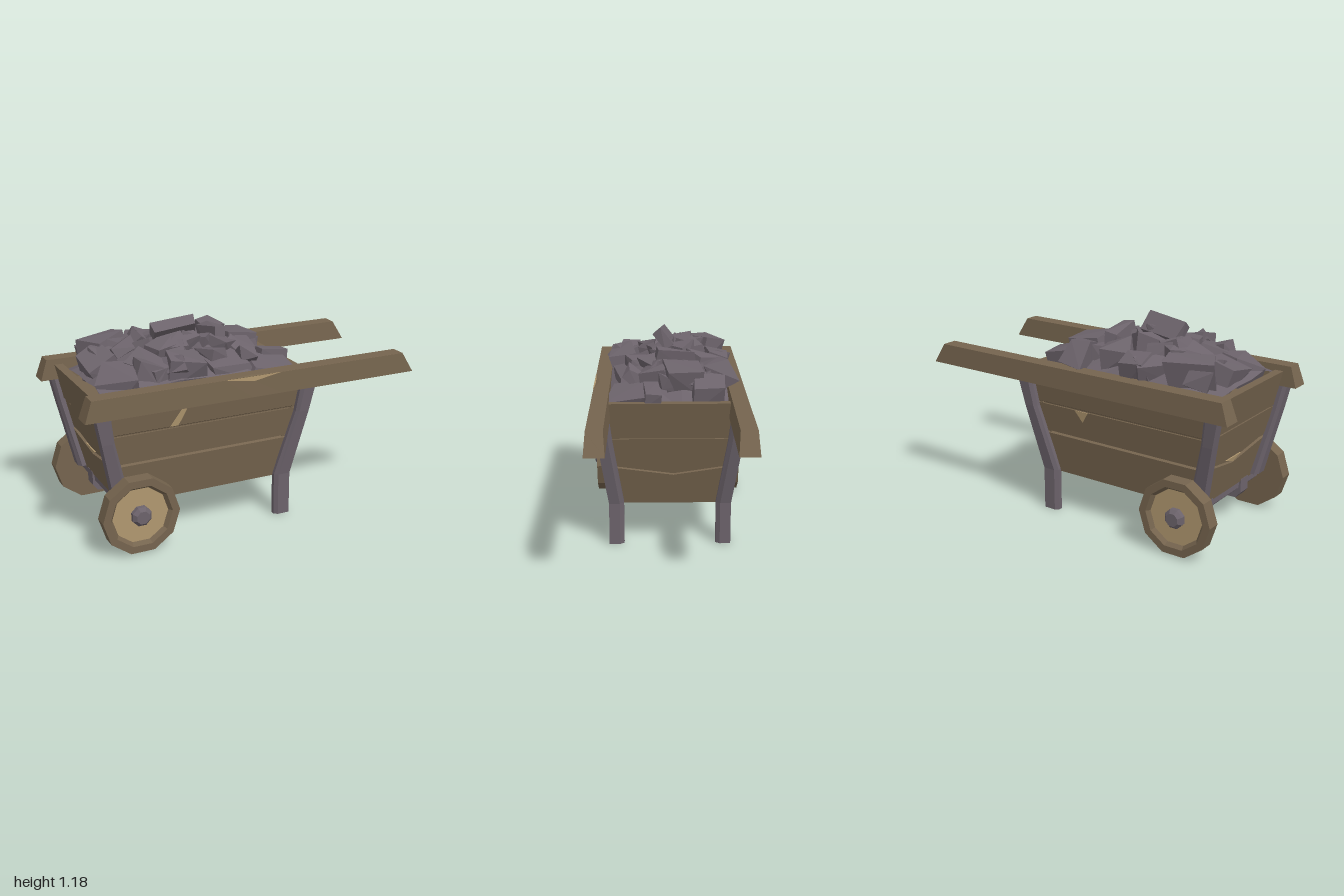
import * as THREE from 'three';
import { ConvexGeometry } from 'three/addons/geometries/ConvexGeometry.js';

const mat = (name, color) => {
  const m = new THREE.MeshStandardMaterial({ color });
  m.name = name;
  return m;
};

export function createModel() {
  const wood = mat('brown wood', 0x75644e);
  const pale = mat('pale split wood', 0xb0976f);
  const grey = mat('grey iron and coal', 0x6c636b);
  const model = new THREE.Group();
  const lerp = THREE.MathUtils.lerp;

  let seed = 11;
  const rnd = () => {
    seed = (seed * 16807) % 2147483647;
    return seed / 2147483647 - 0.5;
  };

  function add(name, geo, material, parent = model) {
    const g = geo.index ? geo.toNonIndexed() : geo;
    g.computeVertexNormals();
    const m = new THREE.Mesh(g, material);
    m.name = name;
    parent.add(m);
    return m;
  }

  // Skin a list of equal rings and cap both ends; winding is corrected by signed volume
  function loft(rings, capTris) {
    const n = rings[0].length, tris = [];
    const caps = capTris || Array.from({ length: n - 2 }, (_, i) => [0, i + 1, i + 2]);
    for (let r = 0; r < rings.length - 1; r++) {
      for (let i = 0; i < n; i++) {
        const j = (i + 1) % n, a = rings[r], b = rings[r + 1];
        tris.push([a[i], a[j], b[j]], [a[i], b[j], b[i]]);
      }
    }
    const end = rings[rings.length - 1];
    for (const [i, j, k] of caps) {
      tris.push([rings[0][i], rings[0][k], rings[0][j]], [end[i], end[j], end[k]]);
    }
    const v = (p) => new THREE.Vector3(...p);
    let volume = 0;
    for (const [a, b, c] of tris) volume += v(a).dot(v(b).cross(v(c)));
    const pos = tris.flatMap(([a, b, c]) => (volume > 0 ? [a, b, c] : [a, c, b])).flat();
    const geo = new THREE.BufferGeometry();
    geo.setAttribute('position', new THREE.Float32BufferAttribute(pos, 3));
    return geo;
  }
  // Cap triangles of an outline whose corners run counter-clockwise
  const capOf = (poly) => THREE.ShapeUtils.triangulateShape(poly.map((p) => new THREE.Vector2(...p)), []);

  // Hopper: four walls leaning outwards, symmetric about x = CX
  const CX = -0.29;
  const halfX = (y) => lerp(0.485, 0.622, (y - 0.24) / 0.63);
  const halfZ = (y) => lerp(0.312, 0.385, (y - 0.24) / 0.63);
  // A wall maps (u along the wall, y, distance outwards) to space
  const sideWall = (s) => (u, y, o) => [u, y, s * (halfZ(y) + o)];
  const endWall = (s) => (u, y, o) => [CX + s * (halfX(y) + o), y, u];
  function panel(name, poly, wall, o0, o1, material = wood, inner = poly) {
    const ring = (pts, o) => pts.map(([u, y]) => wall(u, y, o));
    return add(name, loft([ring(inner, o0), ring(poly, o1)], capOf(poly)), material);
  }

  // Plank rows: bottom, top, outset, bevel below, bevel above
  const rows = [[0.238, 0.472, 0, 0, 0.013], [0.484, 0.65, -0.006, 0, 0], [0.667, 0.87, 0.004, 0.017, 0]];
  for (const s of [1, -1]) {
    rows.forEach(([y0, y1, o, below, above], i) => {
      const inner = (poly) => poly.map(([u, y]) => [u, y < y0 + 0.1 ? y - below : y + above]);
      const x0 = halfX(y0) - 0.01, x1 = halfX(y1) - 0.01;
      const z0 = halfZ(y0) - 0.007, z1 = halfZ(y1) - 0.007;
      const side = [[CX - x0, y0], [CX + x0, y0], [CX + x1, y1], [CX - x1, y1]];
      panel('sidePlank', side, sideWall(s), o - 0.03, o, wood, inner(side));
      const end = [[-z0, y0], [z0, y0], [z1, y1], [-z1, y1]];
      if (i === 0) end.splice(3, 0, [-0.02, 0.422]); // split top edge
      panel('endPlank', end, endWall(s), o - 0.05, o, wood, inner(end));
    });
  }
  const box4 = (y, d) => [[1, 1], [1, -1], [-1, -1], [-1, 1]]
    .map(([a, b]) => [CX + a * (halfX(y) - d), y, b * (halfZ(y) - d)]);
  add('hopperCore', loft([box4(0.24, 0.016), box4(0.78, 0.016)]), wood);

  // Pale splinter marks on the planks
  panel('frontSplit', [[-0.505, 0.667], [-0.46, 0.667], [-0.44, 0.7], [-0.39, 0.8], [-0.44, 0.76]],
    sideWall(1), 0.003, 0.007, pale);
  panel('backSplit', [[-0.04, 0.585], [0.01, 0.65], [-0.08, 0.65]], sideWall(-1), -0.008, -0.003, pale);
  panel('endSplit', [[-0.02, 0.43], [0.05, 0.46], [-0.11, 0.46]], endWall(-1), -0.004, 0.003, pale);

  // Long carrying rails; the front one has a chipped upper edge
  for (const s of [1, -1]) {
    const shift = s > 0 ? 0 : -0.007;
    const section = (xTop, xBottom, cut) => [
      [xBottom, 0.785, 0.332], [xTop, 0.902, 0.342], [xTop, 0.902, 0.43 - cut],
      [xTop, 0.902 - cut * 0.2, 0.43 - cut * 0.2], [xTop, 0.902 - cut, 0.431], [xBottom, 0.785, 0.44],
    ].map(([x, y, z]) => [x, y, s * (z + shift)]);
    add('rail', loft([section(-0.96, -1, 0.0005), section(-0.21, -0.21, 0.0005),
      section(-0.04, -0.04, s > 0 ? 0.027 : 0.0005), section(0.13, 0.13, 0.0005),
      section(0.93, 1, 0.0005)]), wood);
  }
  const chipFace = [[-0.21, 0.902, 0.43], [-0.04, 0.874, 0.431], [0.13, 0.902, 0.43], [-0.04, 0.897, 0.424]];
  add('railChip', loft([chipFace, chipFace.map(([x, y, z]) => [x, y, z + 0.003])]), pale);

  // Bent angle-section legs: y, inner x, outer x, inner z, outer z
  const legRows = [[0, 0.15, 0.242, 0.264, 0.35], [0.25, 0.15, 0.242, 0.264, 0.35],
    [0.64, 0.25, 0.325, 0.322, 0.407], [0.8, 0.272, 0.358, 0.34, 0.422]];
  // Fractions from the inner to the outer corner, bevelled at the tips of both arms
  const legSection = [[1, 1], [0.22, 1], [0, 0.8], [0, 0.52], [0.52, 0.52], [0.52, 0], [0.8, 0], [1, 0.28]];
  for (const s of [1, -1]) {
    for (const right of [true, false]) {
      const ring = ([y, x0, x1, z0, z1]) => legSection.map(([a, b]) => {
        const x = lerp(x0, x1, a);
        return [right ? x : 2 * CX - x, y, s * lerp(z0, z1, b)];
      });
      add(right ? 'longLeg' : 'shortLeg',
        loft((right ? legRows : legRows.slice(1)).map(ring), capOf(legSection)), grey);
    }
  }

  // Wheels, axle and axle brackets
  const AX = -0.714, AY = 0.22;
  const turned = (pts, n) => new THREE.LatheGeometry(
    pts.map((p) => new THREE.Vector2(...p)), n, Math.PI / n).rotateX(Math.PI / 2);
  for (const s of [1, -1]) {
    const wheel = new THREE.Group();
    wheel.name = 'wheel';
    wheel.position.set(AX, AY, s * 0.415);
    wheel.rotation.y = s > 0 ? 0 : Math.PI;
    model.add(wheel);
    add('wheelRim', turned([[0, -0.04], [0.22, -0.04], [0.22, 0.04], [0.178, 0.04], [0.16, 0.015]], 10), wood, wheel);
    add('wheelDisc', turned([[0.16, 0.015], [0, 0.015]], 10), pale, wheel);
    const strap = [[0.065, 0.25], [0.065, 0.168], [0.035, 0.132], [-0.035, 0.132], [-0.065, 0.168], [-0.065, 0.25]];
    add('axleBracket', loft([0.156, 0.238].map((z) => strap.map(([x, y]) => [AX + x, y, s * z]))), grey);
  }
  const axle = add('axle', turned([[0, -0.475], [0.038, -0.475], [0.057, -0.455],
    [0.057, 0.455], [0.038, 0.475], [0, 0.475]], 8), grey);
  axle.position.set(AX, AY, 0);

  // Coal: a faceted mound with angular lumps on top
  const coal = new THREE.Group();
  coal.name = 'coalLoad';
  model.add(coal);
  const height = (x, z) => 0.82 + 0.19 * Math.max(0, 1 - ((x + 0.34) / 0.66) ** 2)
    * Math.max(0, 1 - (z / 0.43) ** 2);
  const mound = new THREE.PlaneGeometry(1.14, 0.68, 8, 5).rotateX(-Math.PI / 2);
  const p = mound.attributes.position;
  for (let i = 0; i < p.count; i++) {
    const x = p.getX(i) + CX, z = p.getZ(i);
    p.setXYZ(i, x, height(x, z) + rnd() * 0.04, z);
  }
  add('coalMound', mound, grey, coal);

  function lump(x, y, z, w, h, d, rx, ry, rz, rough = 0.3) {
    const pts = [];
    for (let i = 0; i < 8; i++) {
      pts.push(new THREE.Vector3(
        ((i & 1) - 0.5 + rnd() * rough) * w,
        (((i >> 1) & 1) - 0.5 + rnd() * rough) * h,
        ((i >> 2) - 0.5 + rnd() * rough) * d));
    }
    const m = add('coalLump', new ConvexGeometry(pts), grey, coal);
    m.position.set(x, y, z);
    m.rotation.set(rx, ry, rz);
  }
  // Large lumps: x, top y, z, width, height, depth, rotation x, y, z
  const big = [
    [-0.75, 1.0, -0.05, 0.18, 0.18, 0.2, 0, 0.2, 0.3], [-0.66, 1.03, -0.21, 0.24, 0.16, 0.14, -0.25, 0.5, 0.1],
    [-0.71, 0.98, 0.18, 0.2, 0.18, 0.22, 0.25, -0.3, 0.25], [-0.36, 1.01, -0.27, 0.17, 0.18, 0.13, -0.25, 0.1, -0.1],
    [-0.37, 1.08, 0.07, 0.27, 0.13, 0.13, 0.2, 0.35, 0.1], [-0.37, 1.02, 0.25, 0.24, 0.18, 0.14, 0.25, 0, 0],
    [-0.55, 1.01, 0.17, 0.14, 0.16, 0.26, 0.3, 0.5, 0.2], [-0.28, 1.07, -0.06, 0.15, 0.14, 0.12, 0, 0.8, 0.2],
    [-0.08, 1.08, -0.03, 0.07, 0.14, 0.22, 0, 0.1, -0.1], [0.02, 1.04, -0.29, 0.12, 0.16, 0.12, 0.45, 0.2, 0.1],
    [0.07, 1.03, -0.08, 0.17, 0.16, 0.19, 0, 0.2, -0.2], [0.17, 0.96, -0.21, 0.16, 0.14, 0.19, -0.1, 0.1, -0.2],
    [-0.1, 0.98, 0.2, 0.26, 0.14, 0.24, 0.25, 0.2, -0.1], [0.13, 0.92, 0.21, 0.26, 0.12, 0.22, 0.15, -0.1, -0.25],
    [-0.48, 1.06, -0.1, 0.19, 0.14, 0.15, 0, -0.5, 0.2], [-0.18, 1.03, -0.2, 0.16, 0.14, 0.14, -0.2, 0.5, 0]];
  for (const [x, top, z, w, h, d, ...turn] of big) lump(x, top - h / 2 - 0.005, z, w, h, d, ...turn);
  // Smaller lumps scattered between them
  for (let i = 0; i < 26; i++) {
    const x = CX + rnd() * 0.92, z = rnd() * 0.54, s = 0.08 + (rnd() + 0.5) * 0.05;
    lump(x, height(x, z) + 0.015, z, s * 1.3, s * 0.8, s, rnd(), rnd() * 6, rnd());
  }
  // Long lump on the peak and one resting on the end board
  lump(-0.34, 1.1, 0.025, 0.25, 0.12, 0.065, 0.7, 0, 0.16, 0.1);
  lump(0.24, 0.895, 0.1, 0.17, 0.08, 0.09, 0, 0.08, -0.15, 0.1);

  return model;
}
